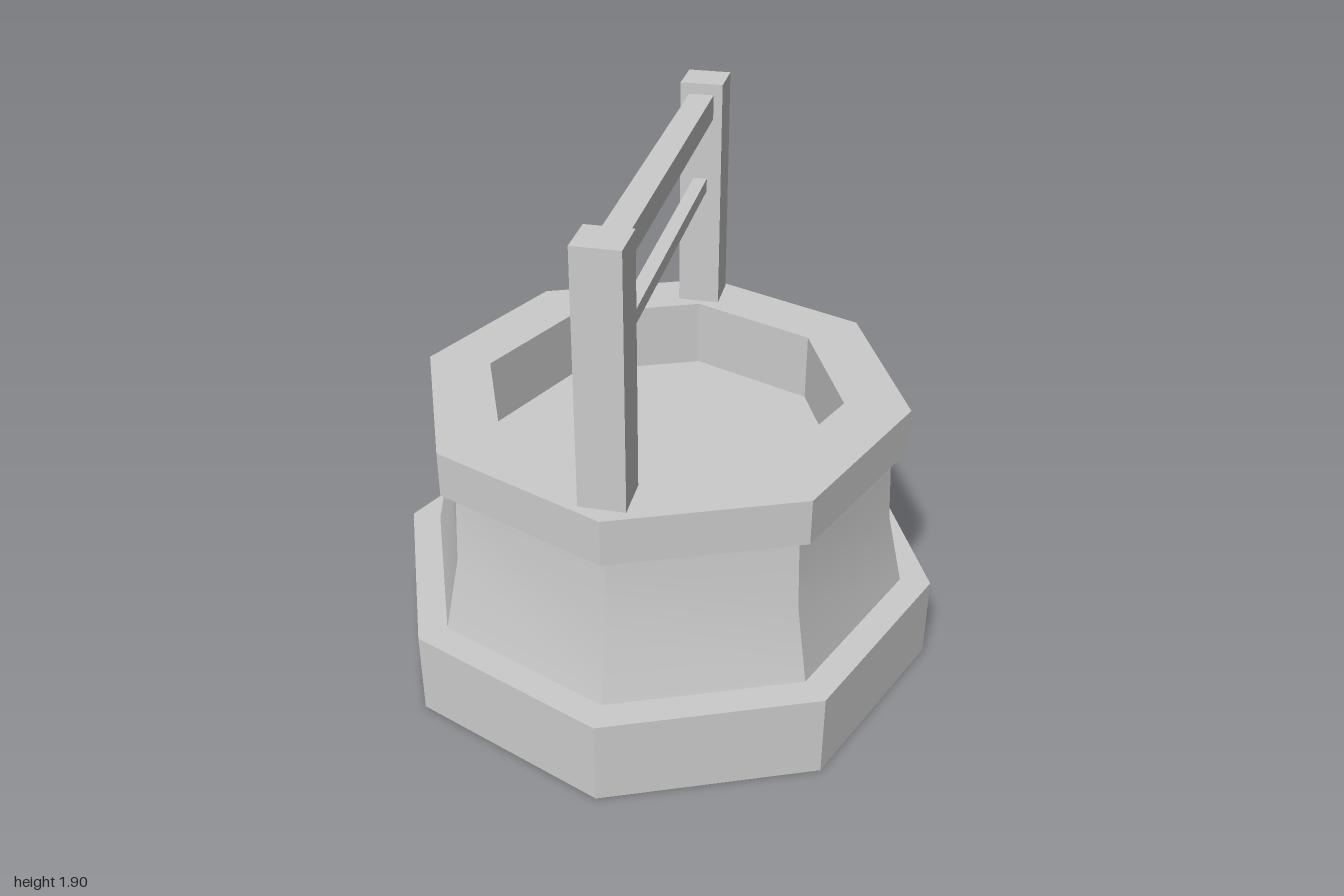
import * as THREE from 'three';
import { toCreasedNormals } from 'three/addons/utils/BufferGeometryUtils.js';

export function createModel() {
  const group = new THREE.Group();
  group.name = 'well';
  const stone = new THREE.MeshStandardMaterial({ color: 0xcccccc, side: THREE.DoubleSide });
  const wood = new THREE.MeshStandardMaterial({ color: 0xcccccc });

  // Eight-sided shell from [radius, height] points, with a corner on each axis
  function octagon(name, profile) {
    const points = profile.map(([r, y]) => new THREE.Vector2(r, y));
    const geometry = toCreasedNormals(new THREE.LatheGeometry(points, 8), 0.4);
    const mesh = new THREE.Mesh(geometry, stone);
    mesh.name = name;
    group.add(mesh);
  }

  function box(name, size, position) {
    const mesh = new THREE.Mesh(new THREE.BoxGeometry(...size), wood);
    mesh.name = name;
    mesh.position.set(...position);
    group.add(mesh);
  }

  // Stonework: one hollow shell, open underneath
  octagon('base', [[1, 0], [1, 0.31], [0.89, 0.31]]);
  octagon('wall', [[0.89, 0.31], [0.83, 0.58], [0.815, 0.86]]);
  octagon('rim', [[0.815, 0.86], [0.87, 0.86], [0.87, 1.025], [0.64, 1.025], [0.64, 0.77]]);

  // Shallow floor inside the rim
  const floor = new THREE.Mesh(new THREE.CircleGeometry(0.64, 8), stone);
  floor.name = 'floor';
  floor.rotation.x = -Math.PI / 2;
  floor.position.y = 0.77;
  group.add(floor);

  // Posts standing on the rim, front and back
  const x = -0.007;
  box('frontPost', [0.155, 0.87, 0.155], [x, 1.465, 0.735]);
  box('backPost', [0.155, 0.87, 0.155], [x, 1.465, -0.737]);

  // Bars between the posts
  box('topBeam', [0.09, 0.09, 1.32], [x, 1.815, 0]);
  box('lowerBar', [0.05, 0.05, 1.32], [x, 1.513, 0]);

  return group;
}
